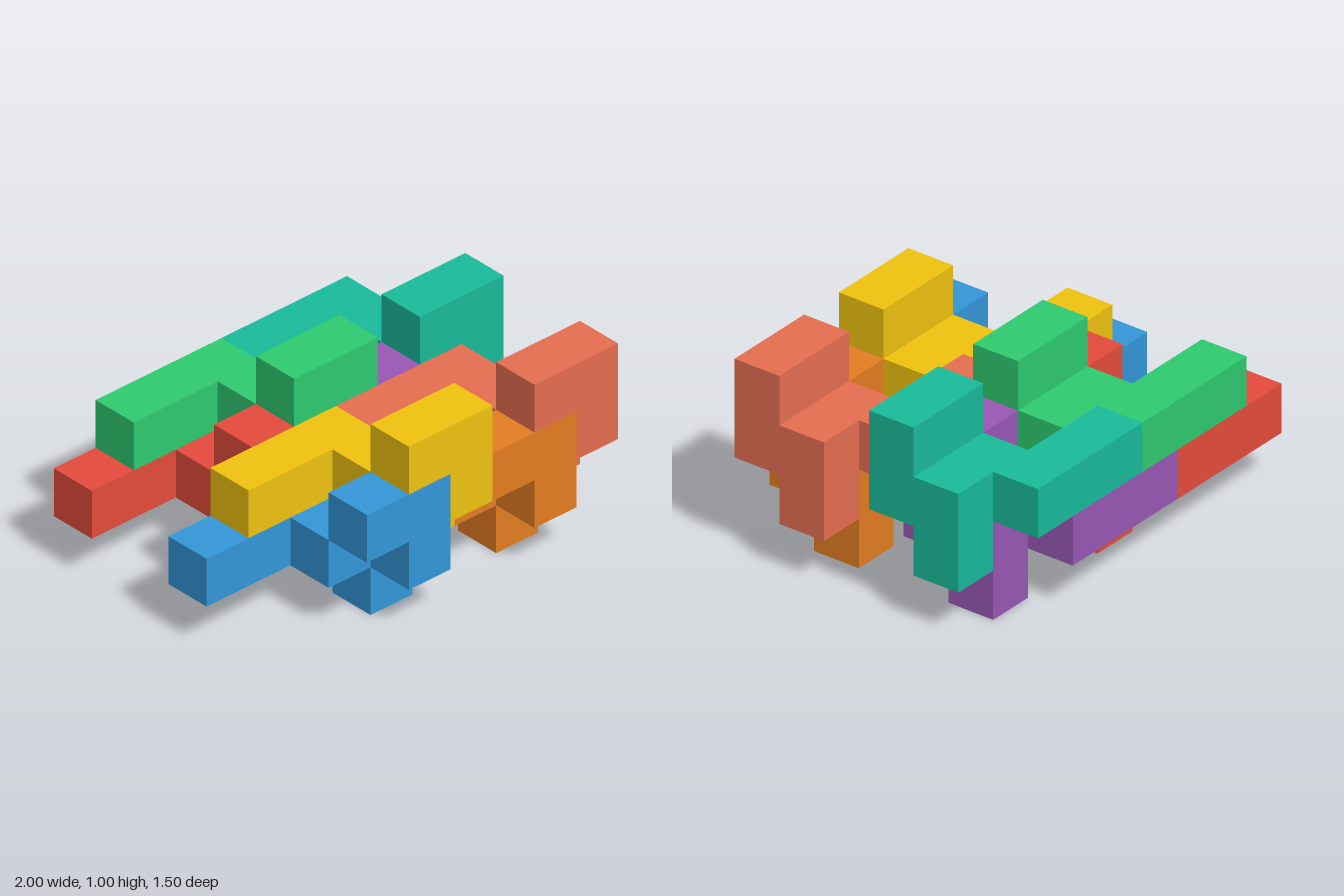
import * as THREE from 'three';
import { mergeGeometries } from 'three/addons/utils/BufferGeometryUtils.js';

const U = 0.25; // edge of one cube

// The nine cubes [x, y, z] that make up one interlocking piece
const CELLS = [
  [0, 1, 0], [1, 1, 0], [2, 1, 0], // back arm
  [2, 1, 1], [3, 1, 1], [3, 0, 1], // middle elbow and foot
  [3, 1, 2], [3, 2, 2], [2, 2, 2], // front hook
];

const SIDES = [[1, 0, 0], [-1, 0, 0], [0, 1, 0], [0, -1, 0], [0, 0, 1], [0, 0, -1]];

// Outer skin of the piece: one square wherever a cube has no neighbour
function pieceGeometry() {
  const filled = new Set(CELLS.map(String));
  const faces = [];
  for (const cell of CELLS) {
    for (const side of SIDES) {
      if (filled.has(String(cell.map((c, a) => c + side[a])))) continue;
      const face = new THREE.PlaneGeometry(U, U);
      face.lookAt(new THREE.Vector3(...side));
      face.translate(...cell.map((c, a) => (c + 0.5 + side[a] / 2) * U));
      faces.push(face);
    }
  }
  return mergeGeometries(faces);
}

export function createModel() {
  const group = new THREE.Group();
  group.name = 'interlockingPieces';
  const geometry = pieceGeometry();

  // Name, colour and offset in cubes; the back row repeats the front row
  const pieces = [
    ['frontLowerRightPiece', 0x3498db, 0, 0, 0],
    ['frontUpperRightPiece', 0xf1c40f, 1, 1, 0],
    ['frontLowerLeftPiece', 0xe67e22, 3, 0, 0],
    ['frontUpperLeftPiece', 0xe76f51, 4, 1, 0],
    ['backLowerRightPiece', 0xe74c3c, 0, 0, -3],
    ['backUpperRightPiece', 0x2ecc71, 1, 1, -3],
    ['backLowerLeftPiece', 0x9b59b6, 3, 0, -3],
    ['backUpperLeftPiece', 0x1abc9c, 4, 1, -3],
  ];
  for (const [name, color, x, y, z] of pieces) {
    const mesh = new THREE.Mesh(geometry, new THREE.MeshStandardMaterial({ color }));
    mesh.name = name;
    mesh.position.set(x * U - 1, y * U, z * U);
    group.add(mesh);
  }
  return group;
}
